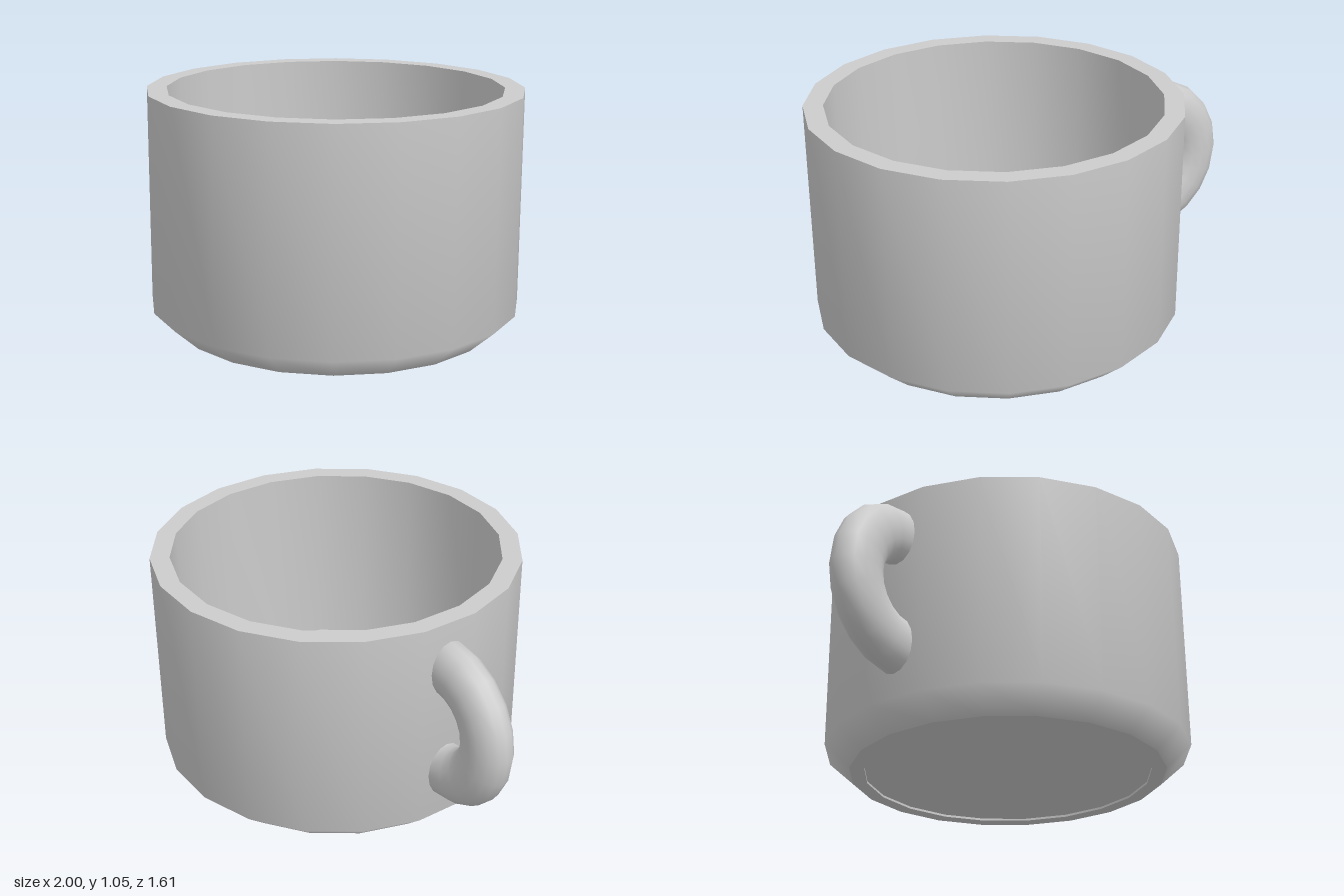
import * as THREE from 'three';
import { toCreasedNormals } from 'three/addons/utils/BufferGeometryUtils.js';

const SIDES = 20;
const CUP_X = 0.195;

export function createModel() {
  const model = new THREE.Group();
  const material = new THREE.MeshStandardMaterial({ color: 0xcccccc });

  // Spins a profile round the cup's axis. Radii are measured to the flats,
  // so they are widened to the corners.
  function addLathe(name, points, crease) {
    const toCorner = 1 / Math.cos(Math.PI / SIDES);
    const profile = points.map(([r, y]) => new THREE.Vector2(r * toCorner, y));
    const lathe = new THREE.LatheGeometry(profile, SIDES, Math.PI / SIDES);
    const mesh = new THREE.Mesh(toCreasedNormals(lathe, crease), material);
    mesh.name = name;
    mesh.position.x = CUP_X;
    model.add(mesh);
  }

  // Outer wall with bevelled foot; the narrow loop keeps the wall shading even
  addLathe('outerWall', [[0.695, 0], [0.805, 0.1], [0.805, 0.11], [0.805, 1.05]], 0.96);
  // Flat foot ring and the slightly sunk underside
  addLathe('underside', [[0, 0.01], [0.63, 0.01], [0.63, 0], [0.695, 0]], 0.5);
  // Rim, inner wall and floor
  addLathe('innerWall', [[0.805, 1.05], [0.72, 1.05], [0.72, 0.185], [0, 0.185]], 0.5);

  // Handle: half ring with an oval section, meeting the wall on the right side
  const ring = new THREE.TorusGeometry(0.254, 0.128, 16, 10, Math.PI);
  ring.rotateZ(Math.PI / 2);
  ring.scale(1, 1, 0.74);
  const handleMaterial = material.clone();
  handleMaterial.side = THREE.DoubleSide;
  const handle = new THREE.Mesh(ring, handleMaterial);
  handle.name = 'handle';
  handle.position.set(-0.618, 0.583, 0);
  model.add(handle);

  return model;
}
